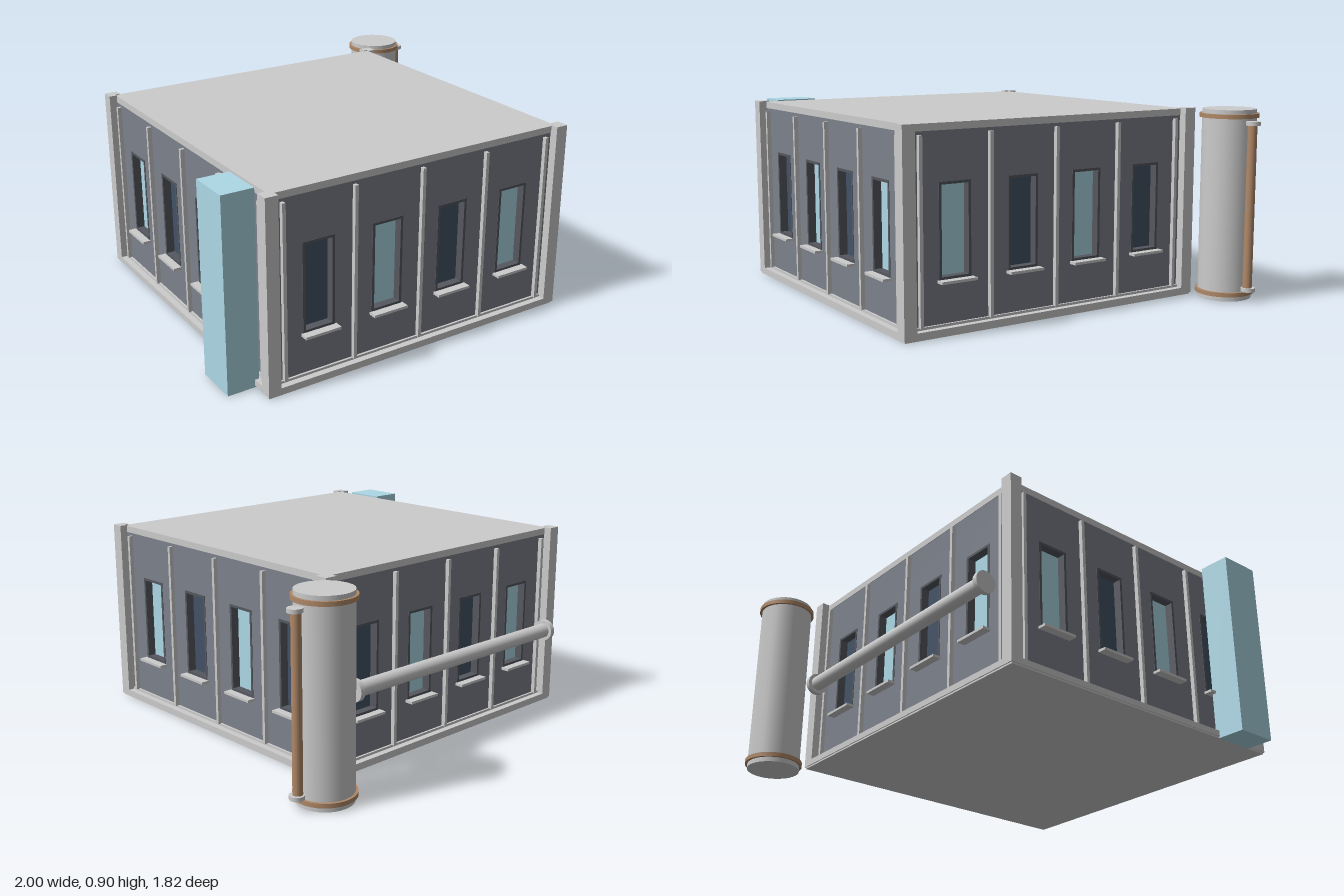
import * as THREE from 'three';

const mat = (color) => new THREE.MeshStandardMaterial({ color });
const grey = mat(0xcccccc), wallMat = mat(0x7c818c), frameMat = mat(0x55585f);
const lightBlue = mat(0xadd8e6), darkGlass = mat(0x435266), copper = mat(0xb08968);

const CX = -0.085, CZ = 0.122; // centre of the building
const CORE = 0.705, WALL = 0.745, OUT = 0.785; // half widths, inside to outside
const PITCH = 0.3445, WIN_W = 0.15, WIN_Y0 = 0.238, WIN_Y1 = 0.648;

function add(parent, name, geometry, material, x = 0, y = 0, z = 0) {
  const mesh = new THREE.Mesh(geometry, material);
  mesh.name = name;
  mesh.position.set(x, y, z);
  parent.add(mesh);
  return mesh;
}

// box given by its min and max corners
function box(parent, name, material, x0, x1, y0, y1, z0, z1) {
  return add(parent, name, new THREE.BoxGeometry(x1 - x0, y1 - y0, z1 - z0), material,
    (x0 + x1) / 2, (y0 + y1) / 2, (z0 + z1) / 2);
}

// vertical cylinder from y0 to y1
function cyl(parent, name, material, r, y0, y1, x = 0, z = 0) {
  return add(parent, name, new THREE.CylinderGeometry(r, r, y1 - y0, 32), material, x, (y0 + y1) / 2, z);
}

function rect(Type, x0, x1, y0, y1) {
  const p = new Type();
  p.moveTo(x0, y0);
  p.lineTo(x1, y0);
  p.lineTo(x1, y1);
  p.lineTo(x0, y1);
  p.closePath();
  return p;
}

const extrude = (shape, depth) => new THREE.ExtrudeGeometry(shape, { depth, bevelEnabled: false });

// one facade facing +z, with four windows between five ribs
function facade(darkFirst) {
  const side = new THREE.Group();
  side.name = 'facade';
  const w = WIN_W / 2;
  const wall = rect(THREE.Shape, -0.74, 0.74, 0.03, 0.87);

  for (let i = 0; i < 4; i++) {
    const x = (i - 1.5) * PITCH;
    wall.holes.push(rect(THREE.Path, x - w, x + w, WIN_Y0, WIN_Y1));
    const dark = (i % 2 === 0) === darkFirst;
    box(side, 'windowPane', dark ? darkGlass : lightBlue,
      x - w, x + w, WIN_Y0, WIN_Y1, CORE - 0.02, CORE + 0.003);
    const ring = rect(THREE.Shape, x - w - 0.003, x + w + 0.003, WIN_Y0 - 0.003, WIN_Y1 + 0.003);
    ring.holes.push(rect(THREE.Path, x - w + 0.009, x + w - 0.009, WIN_Y0 + 0.009, WIN_Y1 - 0.009));
    add(side, 'windowFrame', extrude(ring, WALL - CORE + 0.002), frameMat, 0, 0, CORE);
    box(side, 'windowSill', grey, x - 0.087, x + 0.087, 0.224, 0.236, WALL - 0.01, OUT);
  }
  add(side, 'wall', extrude(wall, WALL - CORE), wallMat, 0, 0, CORE);

  for (let i = -2; i <= 2; i++) {
    const x = i * PITCH;
    box(side, 'wallRib', grey, x - 0.008, x + 0.008, 0.045, 0.85, WALL - 0.01, WALL + 0.02);
  }
  box(side, 'baseLedge', grey, -0.73, 0.73, 0.03, 0.047, WALL - 0.01, WALL + 0.01);
  return side;
}

export function createModel() {
  const model = new THREE.Group();
  model.name = 'buildingModule';

  const building = new THREE.Group();
  building.name = 'building';
  building.position.set(CX, 0, CZ);
  model.add(building);

  // body, base and roof
  box(building, 'core', wallMat, -CORE, CORE, 0.01, 0.88, -CORE, CORE);
  box(building, 'baseSlab', grey, -0.78, 0.78, 0, 0.01, -0.78, 0.78);
  box(building, 'basePlinth', grey, -OUT, OUT, 0.008, 0.036, -OUT, OUT);
  box(building, 'roofSlab', grey, -WALL - 0.003, WALL + 0.003, 0.865, 0.896, -WALL - 0.003, WALL + 0.003);

  // four facades and the L-shaped corner posts between them
  const post = new THREE.Shape();
  [[0.725, 0.745], [0.745, 0.745], [0.745, 0.725], [OUT, 0.725], [OUT, OUT], [0.725, OUT]]
    .forEach(([x, y], i) => (i ? post.lineTo(x, y) : post.moveTo(x, y)));
  const postGeometry = extrude(post, 0.89).rotateX(-Math.PI / 2);
  for (let i = 0; i < 4; i++) {
    const side = facade(i % 2 === 0);
    side.rotation.y = i * Math.PI / 2;
    building.add(side);
    add(building, 'cornerPost', postGeometry, grey, 0, 0.01, 0).rotation.y = i * Math.PI / 2;
  }

  // upright duct box on the -x side
  box(model, 'ductBox', lightBlue, -1, -0.85, 0, 0.9, 0.585, 0.79);

  // horizontal pipe along the back
  const pipe = new THREE.Group();
  pipe.name = 'backPipe';
  pipe.position.set(CX, 0.4, -0.703);
  pipe.rotation.z = Math.PI / 2;
  cyl(pipe, 'pipeTube', grey, 0.035, -0.66, 0.66);
  for (const s of [-1, 1]) cyl(pipe, 'pipeFlange', grey, 0.051, s * 0.658 - 0.0125, s * 0.658 + 0.0125);
  model.add(pipe);

  // freestanding tank with copper bands and a copper side pipe
  const tank = new THREE.Group();
  tank.name = 'tank';
  tank.position.set(0.812, 0, -0.775);
  cyl(tank, 'tankBody', grey, 0.126, 0, 0.9);
  for (const y of [0.033, 0.87]) cyl(tank, 'tankBand', copper, 0.138, y - 0.01, y + 0.01);
  cyl(tank, 'sidePipe', copper, 0.022, 0.06, 0.84, 0.15);
  for (const y of [0.06, 0.84]) cyl(tank, 'sidePipeCap', grey, 0.033, y - 0.009, y + 0.009, 0.155);
  model.add(tank);

  return model;
}
